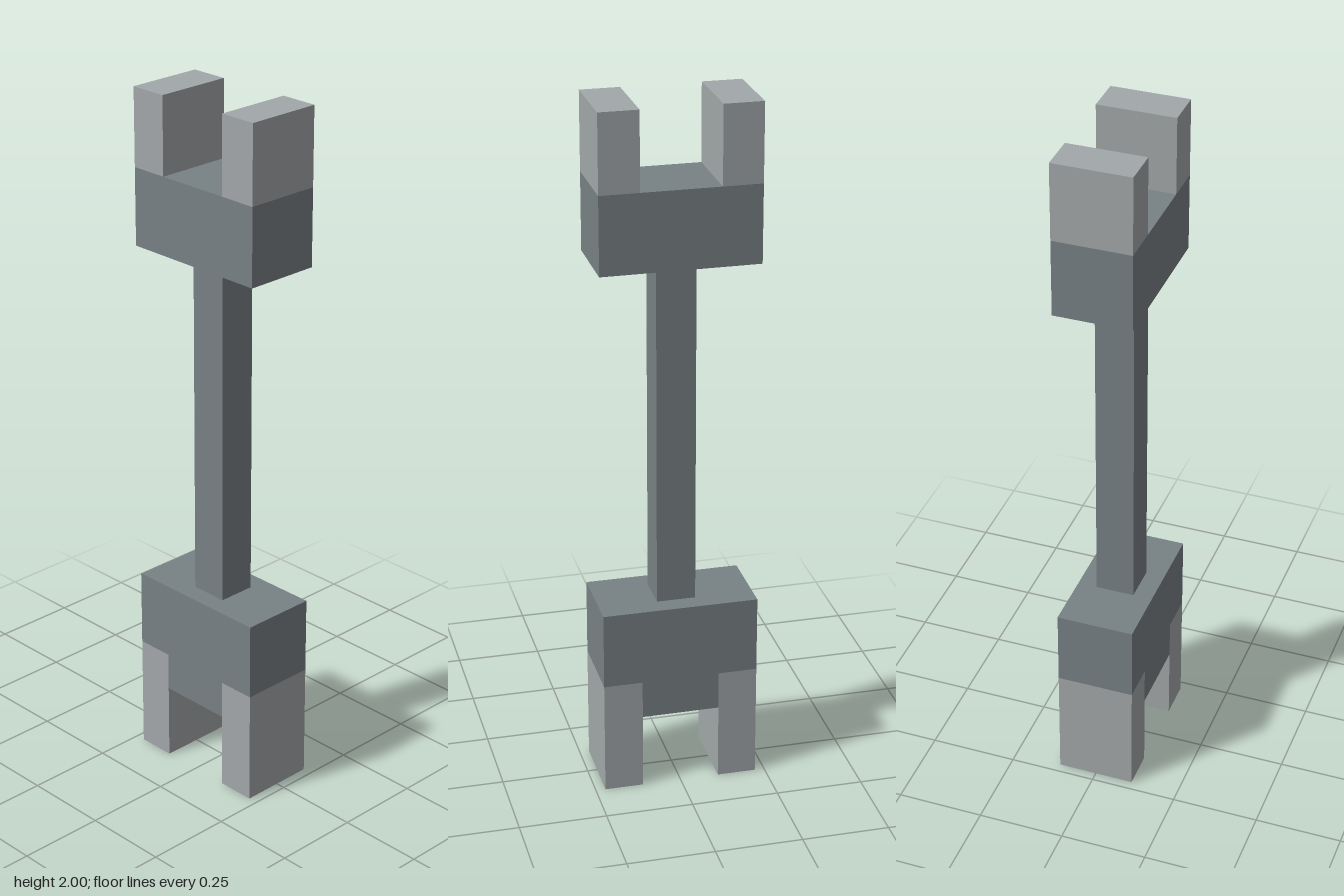
import * as THREE from 'three';

// Everything sits on a grid of 1/18 unit
const U = 1 / 18;

export function createModel() {
  const darkSteel = new THREE.MeshStandardMaterial({ color: 0x788184 });
  darkSteel.name = 'darkSteel';
  const lightSteel = new THREE.MeshStandardMaterial({ color: 0xa2a7a9 });
  lightSteel.name = 'lightSteel';

  const model = new THREE.Group();
  model.name = 'doubleEndedWrench';

  // Box from grid sizes, centred on x, standing on y0
  function addBox(name, material, width, depth, x, y0, y1) {
    const geometry = new THREE.BoxGeometry(width * U, (y1 - y0) * U, depth * U);
    const mesh = new THREE.Mesh(geometry, material);
    mesh.name = name;
    mesh.position.set(x * U, ((y0 + y1) / 2) * U, 0);
    model.add(mesh);
  }

  // Square shaft between the two heads
  addBox('shaft', darkSteel, 2, 2, 0, 10, 28);

  // Upper head
  addBox('upperHead', darkSteel, 8, 4, 0, 28, 32);

  // Lower head: a block with a tab reaching down between the jaws
  const outline = [[-4, 10], [-4, 6], [-2, 6], [-2, 4], [2, 4], [2, 6], [4, 6], [4, 10]];
  const shape = new THREE.Shape(outline.map(([x, y]) => new THREE.Vector2(x * U, y * U)));
  const lowerGeometry = new THREE.ExtrudeGeometry(shape, { depth: 4 * U, bevelEnabled: false });
  lowerGeometry.translate(0, 0, -2 * U);
  const lowerHead = new THREE.Mesh(lowerGeometry, darkSteel);
  lowerHead.name = 'lowerHead';
  model.add(lowerHead);

  // Pairs of light jaws at both ends
  for (const [side, x] of [['left', 3], ['right', -3]]) {
    addBox(side + 'UpperJaw', lightSteel, 2, 4, x, 32, 36);
    addBox(side + 'LowerJaw', lightSteel, 2, 4, x, 0, 6);
  }

  return model;
}
